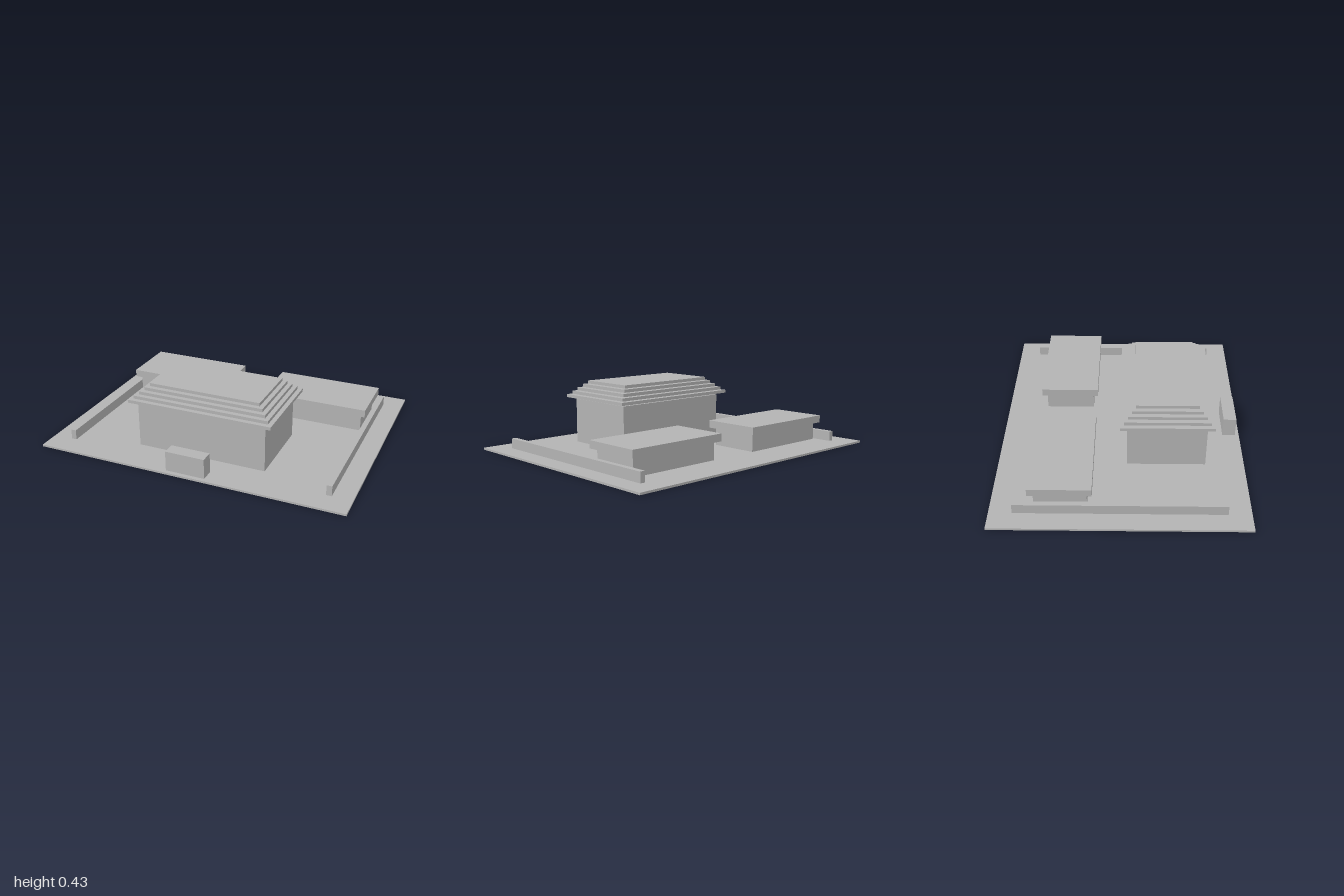
import * as THREE from 'three';

const GROUND = 0.013; // top of the base slab

export function createModel() {
  const group = new THREE.Group();
  const stone = new THREE.MeshStandardMaterial({ color: 0xb3b3b3 });
  stone.name = 'greyStone';

  // Box given by its centre and size in plan, and its bottom and top heights
  const block = (name, x, z, width, depth, bottom, top) => {
    const mesh = new THREE.Mesh(new THREE.BoxGeometry(width, top - bottom, depth), stone);
    mesh.name = name;
    mesh.position.set(x, (bottom + top) / 2, z);
    group.add(mesh);
  };

  // Courtyard slab and the gate block at the front
  block('baseSlab', 0, 0, 2, 1.568, 0, GROUND);
  block('gate', 0, 0.716, 0.254, 0.084, GROUND, 0.142);

  // Main hall with a stepped roof of five separate tiers
  const hallZ = 0.287;
  block('hallBody', 0, hallZ, 0.85, 0.5, GROUND, 0.308);
  for (let i = 0; i < 5; i++) {
    const bottom = 0.32 + i * 0.0231;
    block(`hallRoofTier${i + 1}`, 0, hallZ, 0.946 - i * 0.0535, 0.584 - i * 0.0482, bottom, bottom + 0.0202);
  }

  // Mirrored rear wings with overhanging roofs, and the low side walls
  for (const [side, s] of [['left', 1], ['right', -1]]) {
    block(`${side}WingBody`, s * 0.498, -0.358, 0.642, 0.32, GROUND, 0.13);
    block(`${side}WingRoof`, s * 0.498, -0.358, 0.705, 0.383, 0.13, 0.179);
    block(`${side}Wall`, s * 0.857, 0, 0.034, 1.283, GROUND, 0.078);
  }
  return group;
}
